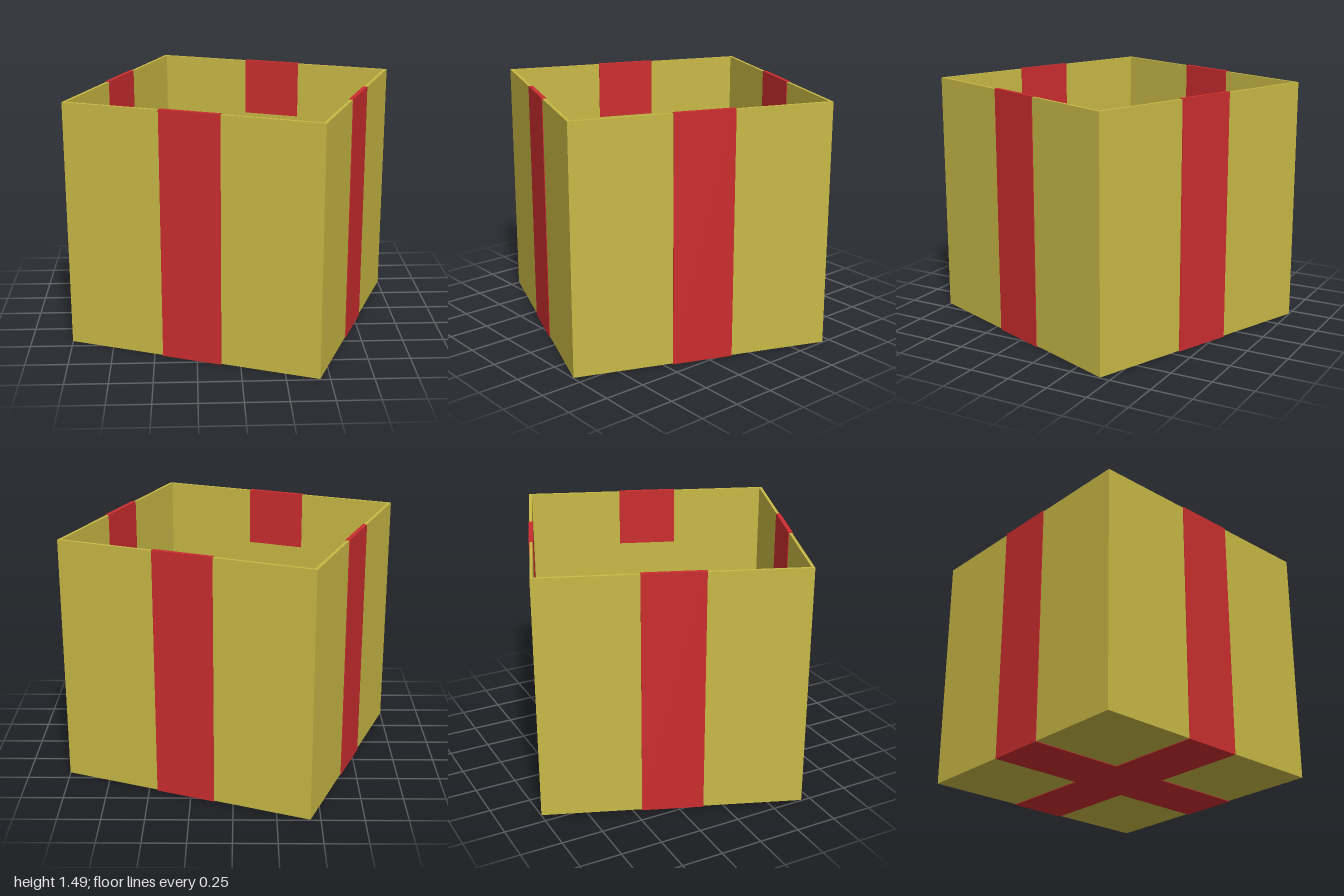
import * as THREE from 'three';

export function createModel() {
  const model = new THREE.Group();
  model.name = 'openGiftBox';

  const yellow = new THREE.MeshStandardMaterial({ color: 0xc9b945 });
  yellow.name = 'mustard yellow card';
  const red = new THREE.MeshStandardMaterial({ color: 0xcb2d2e });
  red.name = 'red ribbon';

  const half = 0.773;    // half the width of the box
  const wall = 0.018;    // card thickness
  const top = 1.484;     // rim height
  const band = 0.364;    // ribbon width
  const thin = 0.004;    // ribbon thickness
  const fold = 0.36;     // ribbon length folded inside the rim

  function box(parent, name, material, size, position) {
    const mesh = new THREE.Mesh(new THREE.BoxGeometry(...size), material);
    mesh.name = name;
    mesh.position.set(...position);
    parent.add(mesh);
  }

  // Floor of the box and the middle of the ribbon cross beneath it
  const inner = 2 * (half - wall);
  box(model, 'floor', yellow, [inner, wall, inner], [0, thin + wall / 2, 0]);
  box(model, 'ribbonCrossCentre', red, [band, thin, band], [0, thin / 2, 0]);

  // Four identical sides, each with a ribbon running under, up and over the rim
  for (let i = 0; i < 4; i++) {
    const side = new THREE.Group();
    side.name = 'side' + (i + 1);
    side.rotation.y = i * Math.PI / 2;

    // Walls overlap in a pinwheel at the corners
    box(side, 'wall', yellow, [2 * half - wall, top - thin, wall],
      [-wall / 2, (top + thin) / 2, half - wall / 2]);

    const reach = half - band / 2;
    box(side, 'ribbonUnderside', red, [band, thin, reach], [0, thin / 2, band / 2 + reach / 2]);
    box(side, 'ribbonOutside', red, [band, top + thin, thin],
      [0, (top + thin) / 2, half + thin / 2]);
    box(side, 'ribbonRim', red, [band, thin, wall], [0, top + thin / 2, half - wall / 2]);
    box(side, 'ribbonInside', red, [band, fold, thin],
      [0, top + thin - fold / 2, half - wall - thin / 2]);
    model.add(side);
  }

  // The box stands turned on its base
  model.rotation.y = THREE.MathUtils.degToRad(-21.25);
  return model;
}
